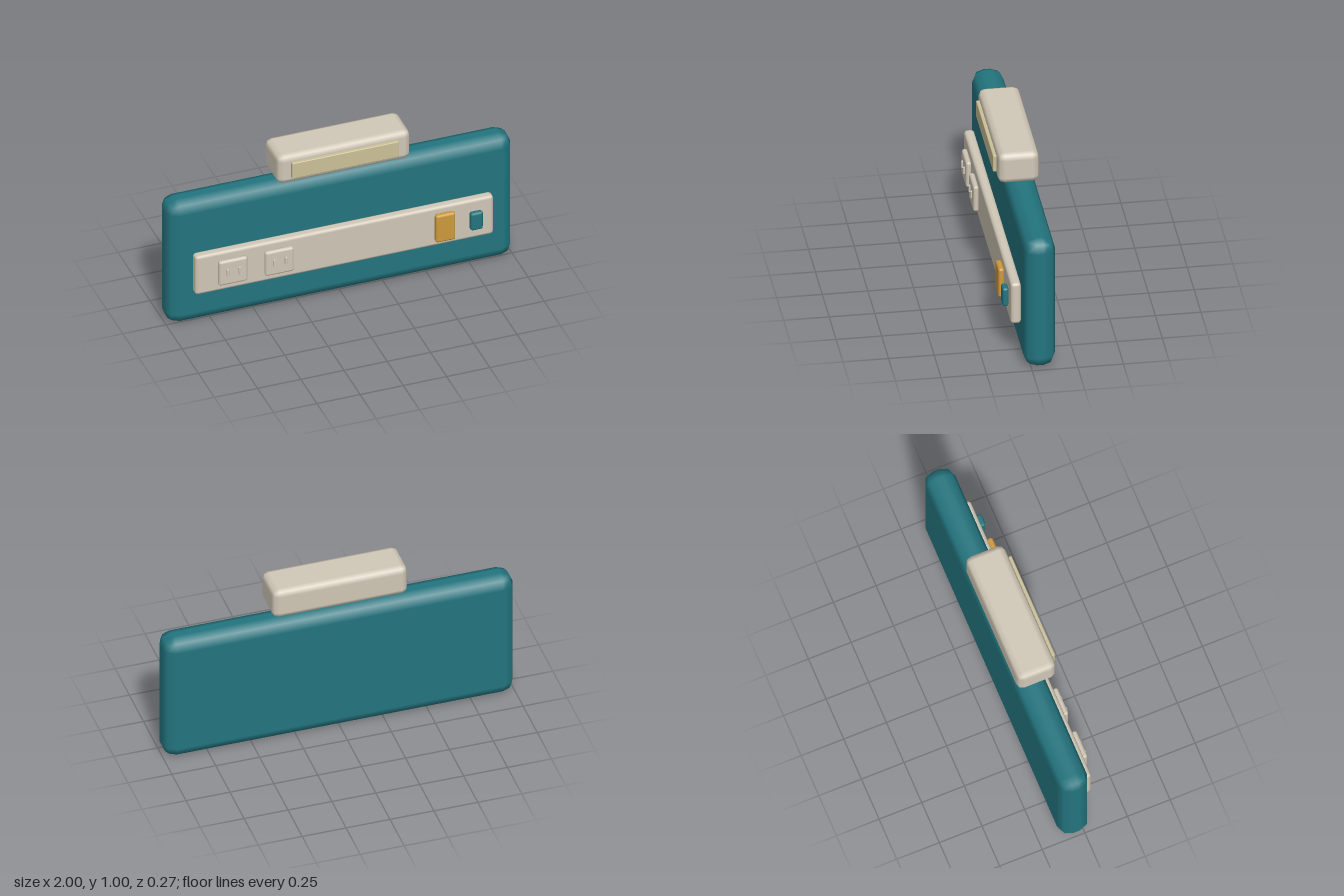
import * as THREE from 'three';

// Box with two-step rounded edges and smooth normals, given by its min and max corners
function bevelBox(min, max, r) {
  const geo = new THREE.BoxGeometry(1, 1, 1, 3, 3, 3);
  const pos = geo.attributes.position, nor = geo.attributes.normal;
  const dir = new THREE.Vector3();
  for (let i = 0; i < pos.count; i++) {
    const u = [pos.getX(i), pos.getY(i), pos.getZ(i)];
    // outer grid points round off, inner grid points frame the flat faces
    dir.fromArray(u.map(v => (Math.abs(v) > 0.3 ? Math.sign(v) : 0))).normalize();
    const d = dir.toArray();
    const p = u.map((v, k) => (min[k] + max[k]) / 2 + Math.sign(v) * ((max[k] - min[k]) / 2 - r) + d[k] * r);
    pos.setXYZ(i, ...p);
    nor.setXYZ(i, ...d);
  }
  return geo;
}

function material(name, color) {
  const m = new THREE.MeshStandardMaterial({ color });
  m.name = name;
  return m;
}

export function createModel() {
  const group = new THREE.Group();
  group.name = 'wallServicePanel';
  const teal = material('teal', 0x23757f);
  const cream = material('cream', 0xd0c7b6);
  const straw = material('straw', 0xcbc097);
  const amber = material('amber', 0xcd9a3c);

  const add = (name, mat, min, max, r, parent = group) => {
    const mesh = new THREE.Mesh(bevelBox(min, max, r), mat);
    mesh.name = name;
    parent.add(mesh);
  };

  // Main board and the strip across it
  add('board', teal, [-1, 0, -0.135], [1, 0.787, 0.04], 0.07);
  add('strip', cream, [-0.865, 0.217, 0.038], [0.86, 0.467, 0.096], 0.018);

  // Lamp above the board with its diffuser
  add('lampHousing', cream, [-0.387, 0.817, -0.135], [0.385, 1, 0.092], 0.037);
  add('lampDiffuser', straw, [-0.312, 0.86, 0.085], [0.308, 0.96, 0.111], 0.005);

  // Two outlets, each with a pair of raised slots
  for (const x of [-0.656, -0.388]) {
    const outlet = new THREE.Group();
    outlet.name = 'outlet';
    add('outletPlate', cream, [x - 0.084, 0.266, 0.094], [x + 0.084, 0.422, 0.126], 0.014, outlet);
    for (const s of [-1, 1]) {
      const c = x + s * 0.034;
      add('outletSlot', cream, [c - 0.007, 0.328, 0.12], [c + 0.007, 0.372, 0.135], 0.004, outlet);
    }
    group.add(outlet);
  }

  // Switches on the right end of the strip
  add('largeSwitch', amber, [0.513, 0.256, 0.095], [0.628, 0.432, 0.13], 0.013);
  add('smallSwitch', teal, [0.714, 0.288, 0.095], [0.787, 0.4, 0.131], 0.013);

  return group;
}
